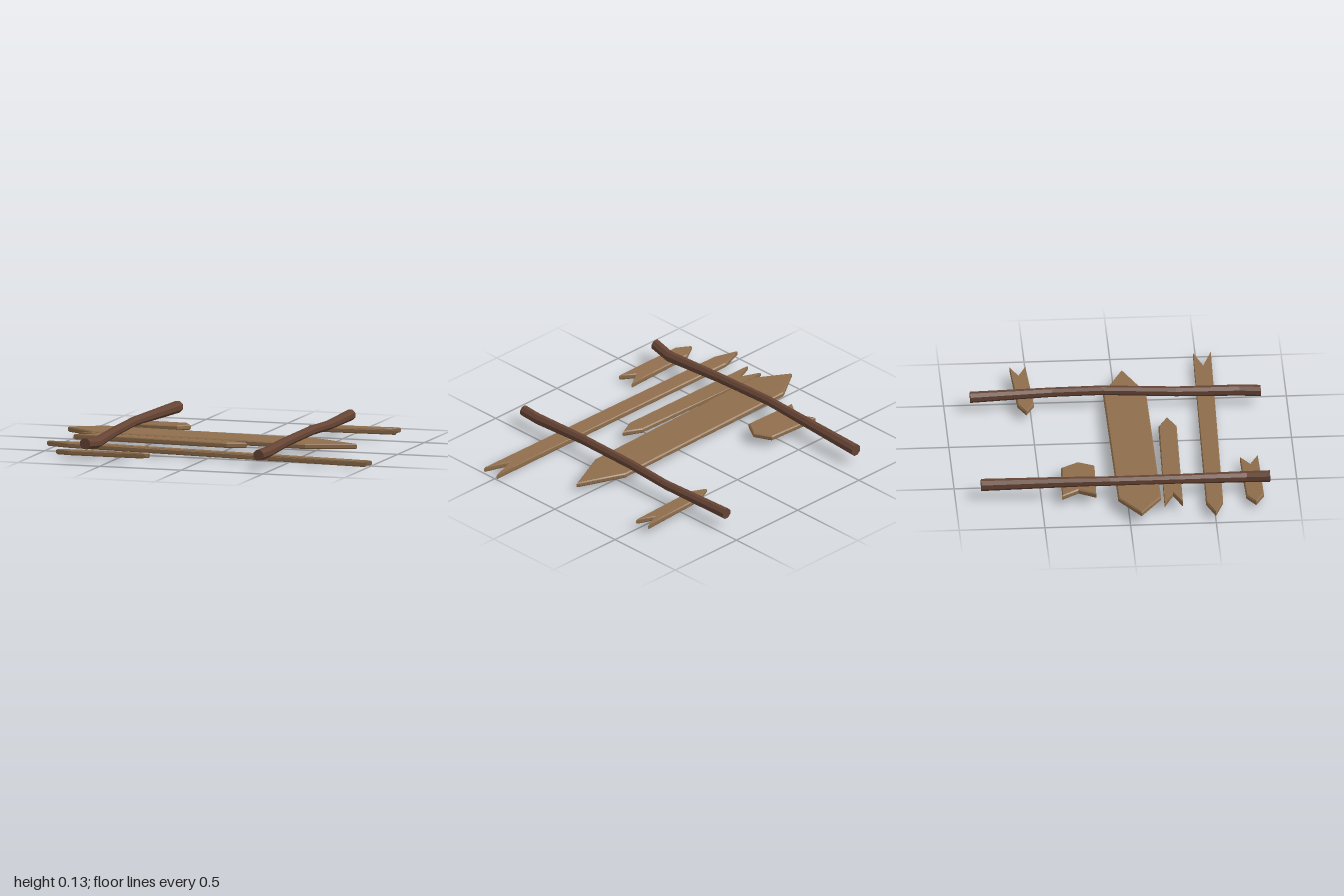
import * as THREE from 'three';

const plankWood = new THREE.MeshStandardMaterial({ color: 0x8f6e4c, flatShading: true });
plankWood.name = 'plank wood';
const poleWood = new THREE.MeshStandardMaterial({ color: 0x664434, flatShading: true });
poleWood.name = 'pole wood';

// Flat board from an [x, z] outline; its underside follows y = base + sx * x + sz * (z - middle)
function plank(name, outline, base, sx, sz) {
  const thick = 0.031, bevel = 0.007;
  const shape = new THREE.Shape(outline.map(([x, z]) => new THREE.Vector2(x, -z)));
  const geo = new THREE.ExtrudeGeometry(shape, {
    depth: thick - 2 * bevel, bevelEnabled: true, bevelSegments: 1,
    bevelSize: bevel, bevelThickness: bevel, bevelOffset: -bevel,
  });
  geo.translate(0, 0, bevel);
  geo.rotateX(-Math.PI / 2);
  const middle = outline.reduce((sum, p) => sum + p[1], 0) / outline.length;
  const pos = geo.attributes.position;
  for (let i = 0; i < pos.count; i++) {
    pos.setY(i, pos.getY(i) + base + sx * pos.getX(i) + sz * (pos.getZ(i) - middle));
  }
  geo.computeVertexNormals();
  const mesh = new THREE.Mesh(geo, plankWood);
  mesh.name = name;
  return mesh;
}

// Crooked octagonal pole through [x, y, z, radius] stations running back to front
function pole(name, stations) {
  const sides = 8, last = stations.length - 1;
  const verts = [], index = [];
  stations.forEach(([x, y, z, r]) => {
    for (let i = 0; i < sides; i++) {
      const a = ((i + 0.5) / sides) * Math.PI * 2;
      verts.push(x + r * Math.cos(a), y + r * Math.sin(a), z);
    }
  });
  for (let s = 0; s < last; s++) {
    for (let i = 0; i < sides; i++) {
      const j = (i + 1) % sides, a = s * sides + i, b = s * sides + j;
      index.push(a, b, b + sides, a, b + sides, a + sides);
    }
  }
  // End caps
  for (let i = 1; i < sides - 1; i++) {
    const f = last * sides;
    index.push(0, i + 1, i, f, f + i, f + i + 1);
  }
  const geo = new THREE.BufferGeometry();
  geo.setAttribute('position', new THREE.Float32BufferAttribute(verts, 3));
  geo.setIndex(index);
  const flat = geo.toNonIndexed();
  flat.computeVertexNormals();
  const mesh = new THREE.Mesh(flat, poleWood);
  mesh.name = name;
  return mesh;
}

export function createModel() {
  const group = new THREE.Group();
  group.name = 'brokenFence';

  group.add(
    plank('widePlank', [[-1, 0.065], [-0.81, 0.19], [0.49, 0.18], [0.77, 0.055], [0.49, -0.07], [-0.81, -0.06]],
      0.041, -0.014, 0),
    plank('longPlank', [[-0.985, 0.5], [-0.84, 0.55], [1, 0.59], [0.84, 0.535], [1, 0.485], [-0.84, 0.45]],
      0.019, -0.015, 0.06),
    plank('mediumPlank', [[-0.885, 0.205], [-0.76, 0.262], [-0.885, 0.313], [0.06, 0.333], [0.17, 0.283], [0.06, 0.227]],
      0.042, -0.008, 0.02),
    plank('frontShortPlank', [[-0.85, 0.743], [-0.76, 0.793], [-0.295, 0.785], [-0.385, 0.735], [-0.295, 0.68], [-0.76, 0.69]],
      0.022, 0, 0.1),
    plank('backStubPlank', [[-0.75, -0.385], [-0.69, -0.285], [-0.755, -0.185], [-0.41, -0.175], [-0.355, -0.27], [-0.41, -0.37]],
      0.048, 0, 0.05),
    plank('backShortPlank', [[0.28, -0.53], [0.375, -0.48], [0.83, -0.503], [0.725, -0.55], [0.825, -0.597], [0.375, -0.577]],
      0.039, 0, 0),
  );

  group.add(
    pole('leftPole', [
      [-0.625, 0.092, -0.85, 0.036], [-0.638, 0.102, -0.4, 0.031], [-0.65, 0.107, -0.1, 0.028],
      [-0.64, 0.102, 0.3, 0.029], [-0.62, 0.093, 0.7, 0.033], [-0.643, 0.105, 0.835, 0.034],
    ]),
    pole('rightPole', [
      [0.433, 0.092, -0.85, 0.033], [0.455, 0.098, -0.37, 0.028], [0.445, 0.107, -0.08, 0.028],
      [0.425, 0.096, 0.35, 0.029], [0.433, 0.088, 0.72, 0.033], [0.422, 0.087, 0.845, 0.033],
    ]),
  );
  return group;
}
